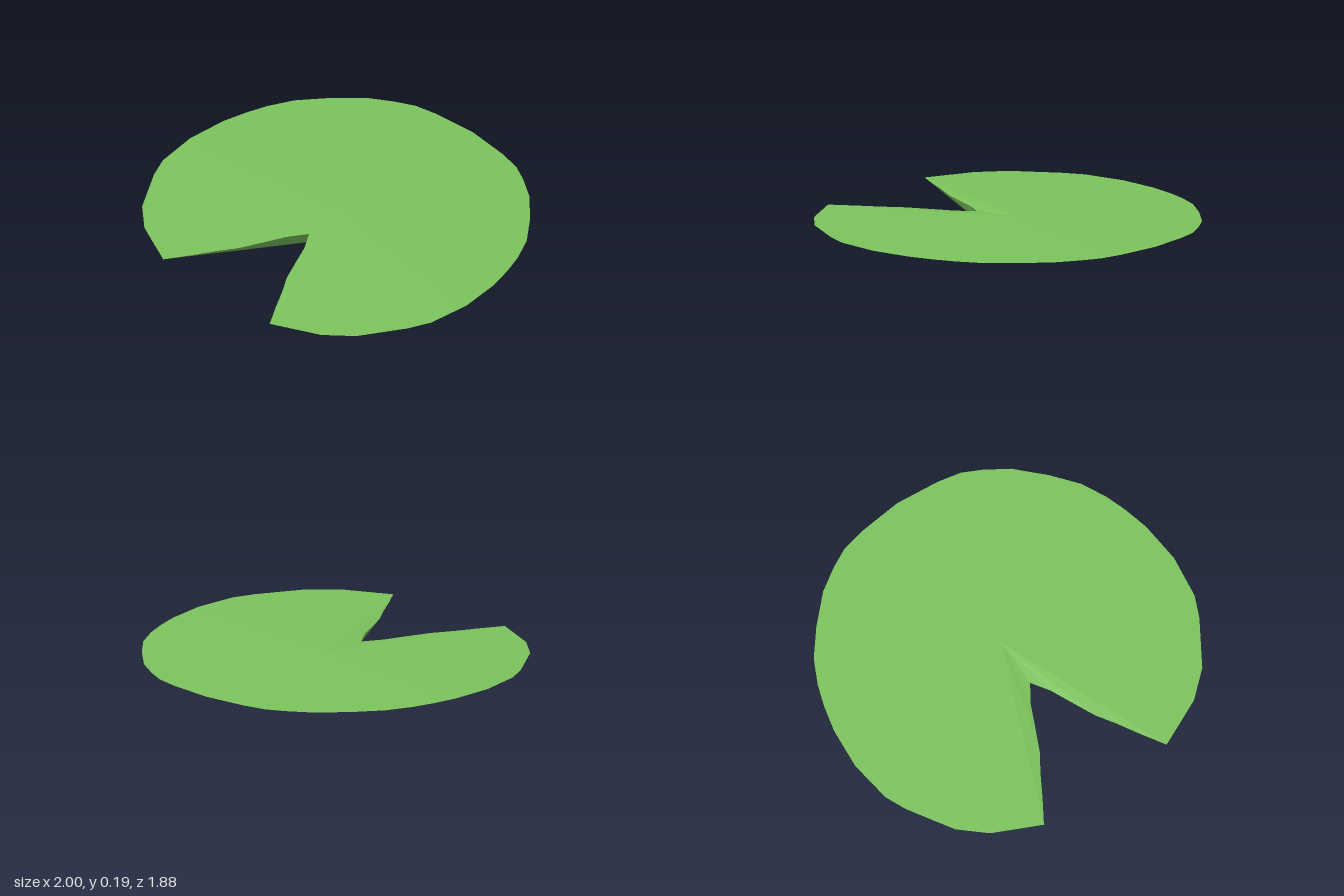
import * as THREE from 'three';

const RIM_Y = 0.17, CROWN_Y = 0.185;

// Half of the leaf outline (x, z), from the back edge round to the notch
const HALF = [
  [0, -0.94], [0.24, -0.917], [0.365, -0.89], [0.465, -0.84], [0.59, -0.76],
  [0.73, -0.62], [0.84, -0.485], [0.905, -0.355], [0.945, -0.24], [0.98, -0.1],
  [1, 0.12], [0.97, 0.35], [0.92, 0.465], [0.775, 0.7], [0.64, 0.82],
  [0.385, 0.94], [0.31, 0.82], [0.24, 0.7], [0.175, 0.6], [0.11, 0.46],
  [0.065, 0.36], [0, 0.26],
];

// Fan of triangles joining the closed rim to one point on the centre line
function fan(rim, apexY, up) {
  const positions = [];
  rim.forEach(([x, z], i) => {
    const [nx, nz] = rim[(i + 1) % rim.length];
    const current = [x, RIM_Y, z], next = [nx, RIM_Y, nz];
    positions.push(0, apexY, 0, ...(up ? next : current), ...(up ? current : next));
  });
  const geometry = new THREE.BufferGeometry();
  geometry.setAttribute('position', new THREE.Float32BufferAttribute(positions, 3));
  geometry.computeVertexNormals();
  return geometry;
}

export function createModel() {
  const group = new THREE.Group();
  group.name = 'lilyPad';
  const leafGreen = new THREE.MeshStandardMaterial({ color: 0x7cc45c, flatShading: true });
  leafGreen.name = 'leafGreen';

  // Mirror the half outline, skipping the two points on the centre line
  const mirrored = HALF.slice(1, -1).reverse().map(([x, z]) => [-x, z]);
  const rim = [...HALF, ...mirrored];

  // Slightly domed top and deep conical underside
  const top = new THREE.Mesh(fan(rim, CROWN_Y, true), leafGreen);
  top.name = 'leafTop';
  const underside = new THREE.Mesh(fan(rim, 0, false), leafGreen);
  underside.name = 'leafUnderside';
  group.add(top, underside);
  return group;
}
